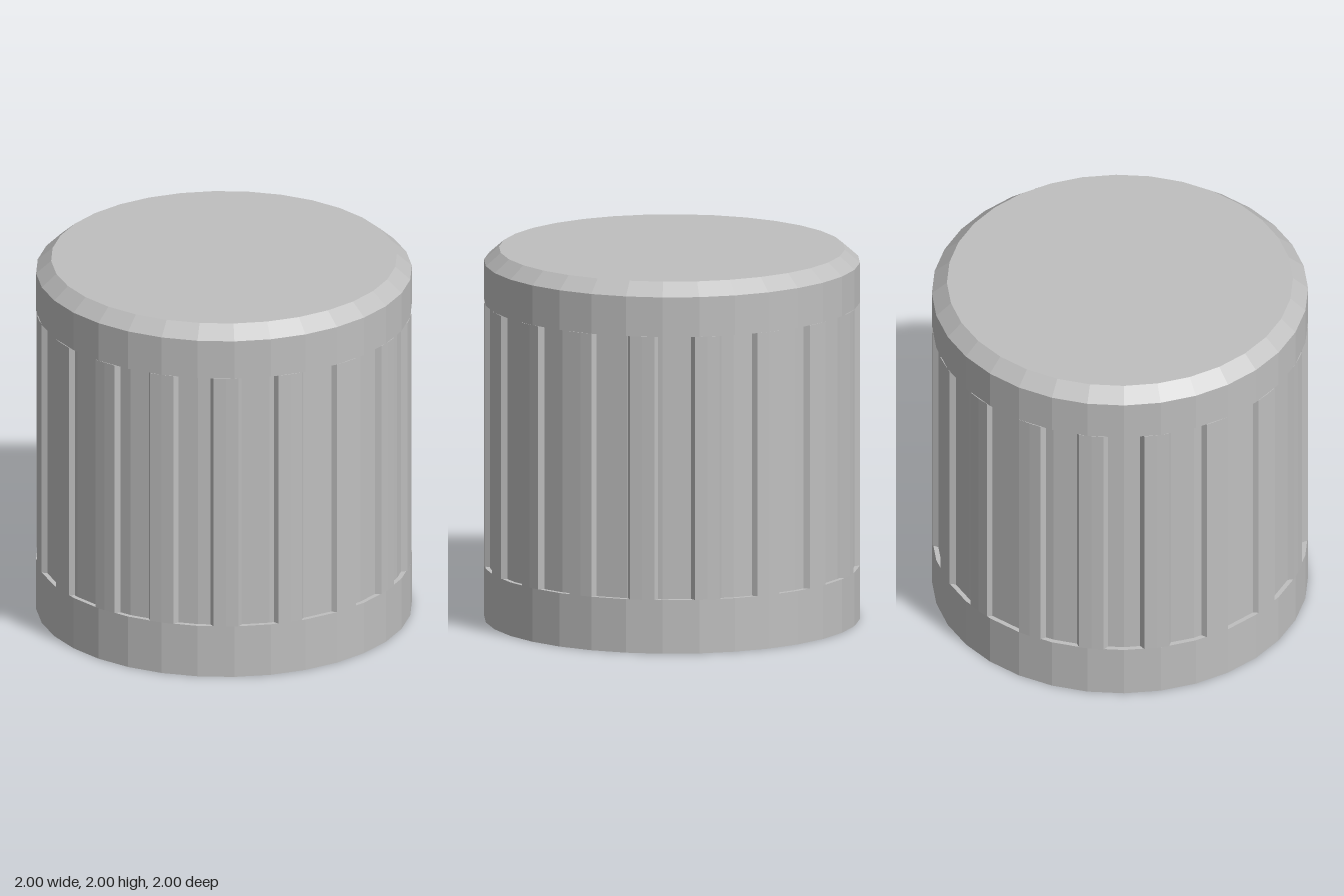
import * as THREE from 'three';

const SIDES = 32;
const RIDGES = 18;
const GRIP_BOTTOM = 0.29;
const GRIP_TOP = 1.715;
const BORE_RADIUS = 0.386;
const BORE_TOP = 1.5;

export function createModel() {
  const knob = new THREE.Group();
  knob.name = 'knob';
  const grey = new THREE.MeshStandardMaterial({ color: 0xbfbfbf, flatShading: true });
  grey.name = 'grey plastic';

  function add(parent, name, geometry) {
    const mesh = new THREE.Mesh(geometry, grey);
    mesh.name = name;
    parent.add(mesh);
    return mesh;
  }
  const turn = (points) =>
    new THREE.LatheGeometry(points.map(([r, y]) => new THREE.Vector2(r, y)), SIDES);
  // extrude a plan shape upwards between two heights
  function rise(shape, bottom, top) {
    const geometry = new THREE.ExtrudeGeometry(shape, {
      depth: top - bottom, bevelEnabled: false, curveSegments: 12,
    });
    return geometry.rotateX(-Math.PI / 2).translate(0, bottom, 0);
  }

  // chamfered cap, recessed grip core and base ring
  add(knob, 'cap', turn([[0.975, GRIP_TOP], [1, GRIP_TOP], [1, 1.93], [0.92, 2], [0, 2]]));
  add(knob, 'gripCore', turn([[0.975, GRIP_BOTTOM], [0.975, GRIP_TOP]]));
  add(knob, 'baseRing', turn([[0.754, 0], [1, 0], [1, GRIP_BOTTOM], [0.975, GRIP_BOTTOM]]));

  // hollow underside with the shaft bore
  add(knob, 'undersideRecess', turn([[BORE_RADIUS, 0.375], [0.754, 0.375], [0.754, 0]]));
  add(knob, 'shaftBore', turn([[0, BORE_TOP], [BORE_RADIUS, BORE_TOP], [BORE_RADIUS, 0.375]]));

  // solid segment that gives the bore its D shape
  const segment = new THREE.Shape();
  const a = Math.acos(-0.2 / BORE_RADIUS);
  segment.absarc(0, 0, BORE_RADIUS, a, 2 * Math.PI - a, false);
  segment.closePath();
  add(knob, 'boreFlat', rise(segment, 0.4, BORE_TOP));

  // tapered grip ridges, level with the rings
  const ridge = new THREE.Shape([
    [-0.084, 0.965], [0.084, 0.965], [0.066, 0.998], [0, 1], [-0.066, 0.998],
  ].map(([x, y]) => new THREE.Vector2(x, y)));
  const ridgeGeometry = rise(ridge, GRIP_BOTTOM, GRIP_TOP);
  const grip = new THREE.Group();
  grip.name = 'gripRidges';
  knob.add(grip);
  for (let i = 0; i < RIDGES; i++) {
    add(grip, 'gripRidge', ridgeGeometry).rotation.y = (i / RIDGES) * Math.PI * 2;
  }
  return knob;
}
